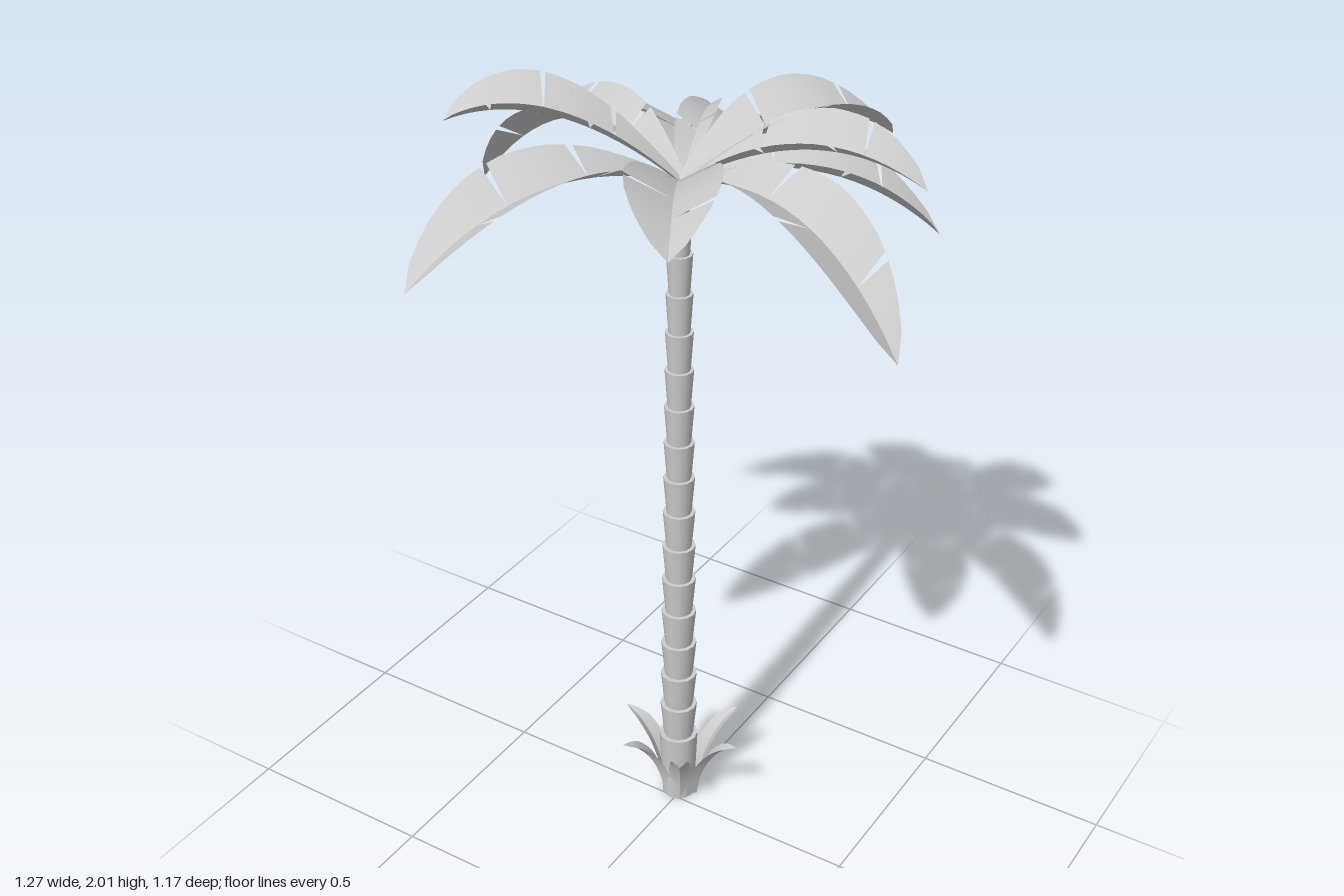
import * as THREE from 'three';

const AXIS_X = -0.01, AXIS_Z = -0.033;
const solid = new THREE.MeshStandardMaterial({ color: 0xcccccc });
const thin = new THREE.MeshStandardMaterial({ color: 0xcccccc, side: THREE.DoubleSide });

// Linear interpolation in a list of [t, value] pairs
function sample(table, t) {
  for (let i = 1; i < table.length; i++) {
    const [t0, v0] = table[i - 1], [t1, v1] = table[i];
    if (t <= t1) return v0 + (v1 - v0) * (t - t0) / (t1 - t0);
  }
  return table[table.length - 1][1];
}

// Blade with a V-shaped section along a curve; each half is split by cuts at the given stations
function bladeGeometry(curve, side, width, lift, cutsBySide) {
  const pos = [], index = [];
  for (const s of [-1, 1]) {
    const stops = [0, ...cutsBySide[s < 0 ? 0 : 1], 1];
    for (let k = 0; k + 1 < stops.length; k++) {
      const a = stops[k], b = stops[k + 1];
      // the rim stands back from each cut, leaving a wedge-shaped gap
      const ra = k > 0 ? a + 0.012 : a, rb = b < 1 ? b - 0.012 : b;
      const n = Math.max(2, Math.round((b - a) * 18));
      for (let i = 0; i <= n; i++) {
        const rimT = ra + (rb - ra) * i / n, w = sample(width, rimT);
        const rib = curve.getPoint(a + (b - a) * i / n);
        const rim = curve.getPoint(rimT).addScaledVector(side, s * w).addScaledVector(lift, w);
        const v = pos.length / 3;
        pos.push(rib.x, rib.y, rib.z, rim.x, rim.y, rim.z);
        if (i < n) {
          if (s > 0) index.push(v, v + 1, v + 2, v + 1, v + 3, v + 2);
          else index.push(v, v + 2, v + 1, v + 1, v + 2, v + 3);
        }
      }
    }
  }
  const g = new THREE.BufferGeometry();
  g.setAttribute('position', new THREE.Float32BufferAttribute(pos, 3));
  g.setIndex(index);
  g.computeVertexNormals();
  return g;
}

export function createModel() {
  const model = new THREE.Group();
  const add = (parent, geometry, material, name) => {
    const mesh = new THREE.Mesh(geometry, material);
    mesh.name = name;
    parent.add(mesh);
    return mesh;
  };

  // Trunk: stacked rings, each flaring towards its top
  const trunk = new THREE.Group();
  trunk.name = 'trunk';
  trunk.position.set(AXIS_X, 0, AXIS_Z);
  model.add(trunk);
  add(trunk, new THREE.CylinderGeometry(0.05, 0.042, 0.2, 12), solid, 'trunkBase').position.y = 0.1;
  for (let i = 2; i < 17; i++) {
    const r = 0.048 - 0.018 * (i - 2) / 14;
    add(trunk, new THREE.CylinderGeometry(r, r * 0.8, 0.1, 12), solid, 'trunkRing')
      .position.y = i * 0.1 + 0.05;
  }
  add(trunk, new THREE.CylinderGeometry(0.025, 0.023, 0.08, 8), solid, 'trunkTop').position.y = 1.735;

  // Crown fronds: tip x, y, z, height of the midrib halfway along, sideways bow
  const fronds = [
    [-0.64, 1.60, -0.14, 1.83, -0.04], [-0.36, 1.53, -0.58, 1.78, 0], [-0.09, 1.65, -0.55, 1.80, 0],
    [0.28, 1.79, -0.50, 1.88, 0], [0.47, 1.63, -0.38, 1.79, 0], [0.51, 1.81, -0.21, 1.88, 0],
    [0.635, 1.59, 0.15, 1.80, 0.04], [0.285, 1.87, 0.48, 1.89, 0], [-0.295, 1.69, 0.59, 1.84, 0],
    [-0.43, 1.93, 0.265, 1.935, 0],
  ];
  const frondWidth = [[0, 0.018], [0.12, 0.045], [0.25, 0.075], [0.4, 0.096], [0.55, 0.104],
    [0.7, 0.096], [0.82, 0.077], [0.92, 0.048], [0.97, 0.027], [1, 0]];
  const crown = new THREE.Group();
  crown.name = 'crown';
  model.add(crown);
  fronds.forEach(([x, y, z, midY, bow], i) => {
    const base = new THREE.Vector3(AXIS_X, 1.77, AXIS_Z - 0.005);
    const tip = new THREE.Vector3(x, y, z);
    const side = new THREE.Vector3(z - base.z, 0, base.x - x).normalize();
    const control = base.clone().lerp(tip, 0.55).addScaledVector(side, bow);
    control.y = 2 * midY - (base.y + y) / 2;
    const shift = (i % 3) * 0.03;
    const cuts = [[0.26 + shift, 0.55 + shift], [0.36 - shift, 0.78 - shift]];
    const curve = new THREE.QuadraticBezierCurve3(base, control, tip);
    add(crown, bladeGeometry(curve, side, frondWidth, new THREE.Vector3(0, 0.55, 0), cuts), thin, 'frond');
  });

  // Ring of pointed shoots around the foot
  const shoots = new THREE.Group();
  shoots.name = 'footShoots';
  shoots.position.set(AXIS_X, 0, AXIS_Z - 0.012);
  model.add(shoots);
  const profile = [[0.05, 0], [0.064, 0.07], [0.092, 0.135], [0.132, 0.185], [0.172, 0.21]];
  const shootWidth = [[0, 0.029], [0.4, 0.029], [0.7, 0.023], [0.9, 0.011], [1, 0]];
  const shootCurve = new THREE.CatmullRomCurve3(profile.map(([r, y]) => new THREE.Vector3(r, y, 0)));
  const shootGeometry = bladeGeometry(shootCurve, new THREE.Vector3(0, 0, -1), shootWidth,
    new THREE.Vector3(-0.5, 0.25, 0), [[], []]);
  for (let i = 0; i < 6; i++) {
    add(shoots, shootGeometry, thin, 'shoot').rotation.y = i * Math.PI / 3;
  }
  return model;
}
